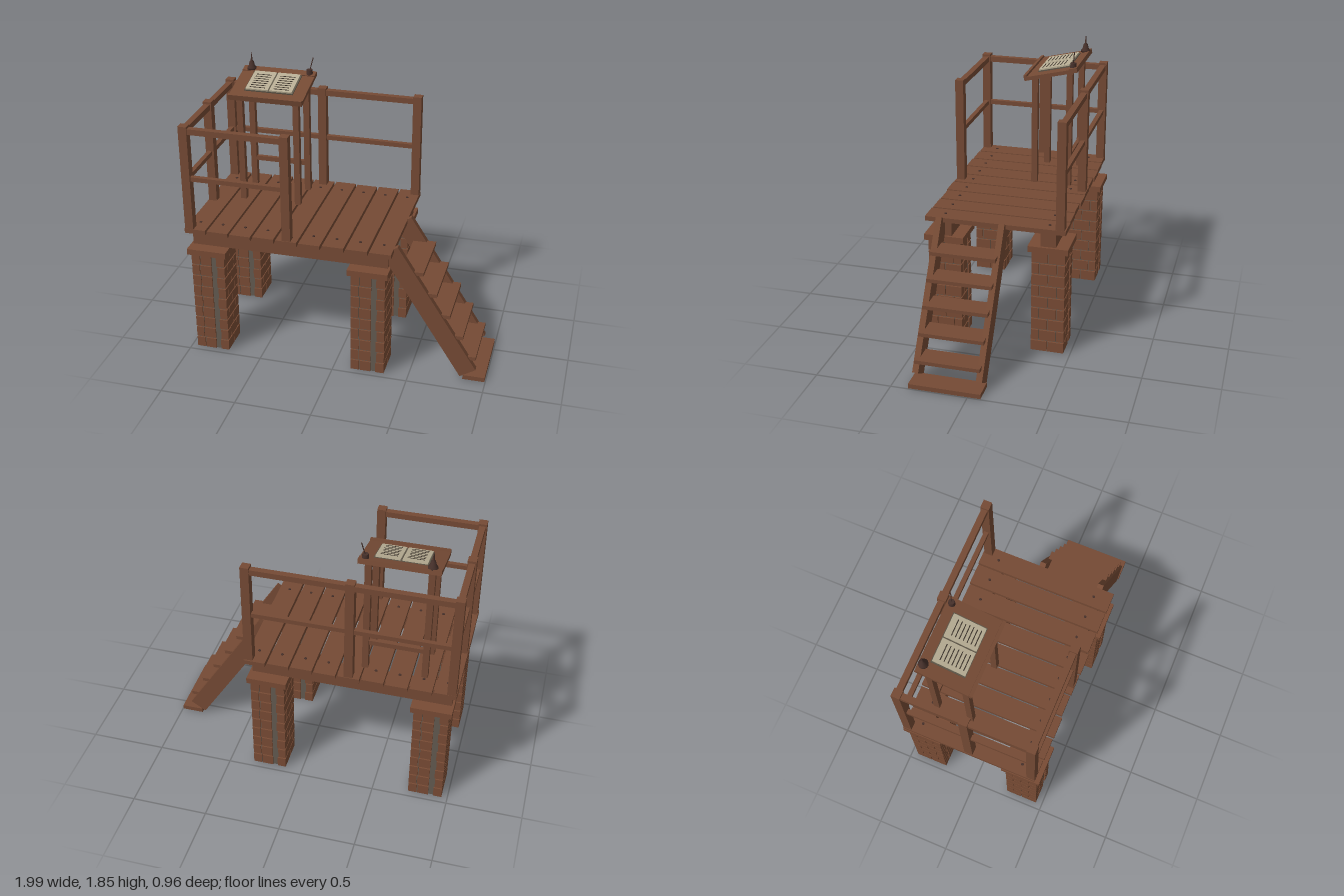
import * as THREE from 'three';
import { mergeGeometries } from 'three/addons/utils/BufferGeometryUtils.js';

const mat = (name, color) => {
  const m = new THREE.MeshStandardMaterial({ color });
  m.name = name;
  return m;
};

export function createModel() {
  const wood = mat('wood', 0x754a34);
  const brick = mat('brick', 0x784b34);
  const mortar = mat('mortar', 0x625950);
  const dark = mat('dark metal', 0x46302a);
  const cover = mat('book cover', 0x5e5648);
  const paper = mat('paper', 0xb8ae94);
  const ink = mat('ink', 0x3c342c);

  const root = new THREE.Group();
  root.name = 'brickPierPlatform';
  const group = (name, parent = root) => {
    const g = new THREE.Group();
    g.name = name;
    parent.add(g);
    return g;
  };
  const add = (parent, name, geo, material, x = 0, y = 0, z = 0) => {
    const m = new THREE.Mesh(geo, material);
    m.name = name;
    m.position.set(x, y, z);
    parent.add(m);
    return m;
  };
  // box from its minimum and maximum on each axis
  const span = (parent, name, material, x0, x1, y0, y1, z0, z1) =>
    add(parent, name, new THREE.BoxGeometry(x1 - x0, y1 - y0, z1 - z0), material,
      (x0 + x1) / 2, (y0 + y1) / 2, (z0 + z1) / 2);

  // brick courses of one pier; each half is repeated turned by 180 degrees
  const bricks = [];
  const pitch = 0.0805;
  for (let row = 0; row < 9; row++) {
    const odd = row % 2;
    const half = [];
    const put = (x0, x1, z0, z1) => half.push(
      new THREE.BoxGeometry(x1 - x0, 0.071, z1 - z0)
        .translate((x0 + x1) / 2, row * pitch + 0.04, (z0 + z1) / 2));
    const x0 = odd ? 0.062 : 0.056;
    const cuts = odd ? [-0.1125, -0.058, 0.058, 0.1125] : [-0.1125, 0, 0.1125];
    for (let i = 0; i < cuts.length - 1; i++) put(x0, 0.1125, cuts[i] + 0.003, cuts[i + 1] - 0.003);
    put(odd ? -0.056 : -0.05, 0.022, 0.055, 0.11);
    for (const g of half) bricks.push(g, g.clone().rotateY(Math.PI));
  }
  const brickGeo = mergeGeometries(bricks);

  // four piers with caps
  for (const x of [-0.848, 0.227]) for (const z of [-0.345, 0.347]) {
    const pier = group('pier');
    pier.position.set(x, 0, z);
    add(pier, 'pierBricks', brickGeo, brick);
    span(pier, 'pierCore', mortar, -0.1, 0.1, 0.004, 0.726, -0.1, 0.1);
    span(pier, 'pierCap', brick, -0.132, 0.132, 0.726, 0.766, -0.132, 0.132);
  }

  // beams and deck planks with bolt heads
  const deck = group('deck');
  for (const z of [-0.345, 0.345]) span(deck, 'beam', wood, -0.965, 0.342, 0.766, 0.872, z - 0.05, z + 0.05);
  const bolt = new THREE.CylinderGeometry(0.009, 0.009, 0.006, 10);
  for (let i = 0; i < 9; i++) {
    const x = -0.925 + i * 0.1538;
    const end = 0.455 + (i % 3) * 0.004;
    span(deck, 'plank', wood, x - 0.07, x + 0.07, 0.872, 0.903, -end, end);
    for (const z of [-0.345, 0.345]) add(deck, 'bolt', bolt, dark, x, 0.904, z);
  }

  // railing posts and rails
  const railing = group('railing');
  const L = -0.963, M = -0.308, R = 0.346, Z = 0.426;
  for (const [x, z] of [[L, Z], [M, Z], [L, 0], [L, -Z], [M, -Z], [R, -Z]])
    span(railing, 'post', wood, x - 0.028, x + 0.028, 0.9, 1.617, z - 0.028, z + 0.028);
  for (const [y, h, w] of [[1.583, 0.019, 0.02], [1.256, 0.015, 0.015]]) {
    span(railing, 'backRail', wood, L, R, y - h, y + h, -Z - w, -Z + w);
    span(railing, 'frontRail', wood, L, M, y - h, y + h, Z - w, Z + w);
    span(railing, 'endRail', wood, L - w, L + w, y - h, y + h, -Z, Z);
  }

  // stairs
  const stairs = group('stairs');
  for (const z of [-0.055, 0.36]) {
    const s = add(stairs, 'stringer', new THREE.BoxGeometry(0.99, 0.12, 0.04), wood, 0.615, 0.468, z);
    s.rotation.z = -Math.atan2(0.84, 0.535);
  }
  for (let i = 0; i < 5; i++) {
    const x = 0.567 + i * 0.09, y = 0.736 - i * 0.1445;
    span(stairs, 'tread', wood, x - 0.15, x, y - 0.0125, y + 0.0125, -0.06, 0.366);
  }
  span(stairs, 'bottomTread', wood, 0.85, 0.995, 0.005, 0.036, -0.083, 0.387);

  // reading desk legs and stretcher
  const desk = group('readingDesk');
  for (const x of [-0.77, -0.387]) {
    span(desk, 'frontLeg', wood, x - 0.02, x + 0.02, 0.9, 1.655, -0.095, -0.055);
    span(desk, 'backLeg', wood, x - 0.02, x + 0.02, 0.9, 1.712, -0.33, -0.29);
  }
  span(desk, 'stretcher', wood, -0.75, -0.407, 1.085, 1.117, -0.322, -0.298);

  // sloping top with lip, rear ledge and open book
  const top = group('deskTop', desk);
  top.position.set(-0.58, 1.687, -0.187);
  top.rotation.x = 0.235;
  span(top, 'deskBoard', wood, -0.25, 0.25, -0.0125, 0.0125, -0.178, 0.172);
  span(top, 'frontLip', wood, -0.25, 0.25, -0.012, 0.026, 0.16, 0.182);
  span(top, 'rearLedge', wood, -0.25, 0.25, -0.012, 0.019, -0.184, -0.128);
  span(top, 'bookCover', cover, -0.163, 0.167, 0.0125, 0.02, -0.122, 0.1);
  for (const s of [-1, 1]) {
    const cx = 0.002 + s * 0.081;
    span(top, 'page', paper, cx - 0.076, cx + 0.076, 0.02, 0.029, -0.117, 0.095);
    for (let i = 0; i < 7; i++) {
      const z = -0.077 + i * 0.025, w = i % 3 === 2 ? 0.046 : 0.052;
      span(top, 'ruledLine', ink, cx - 0.052, cx + w, 0.029, 0.0305, z - 0.003, z + 0.003);
    }
  }

  // pointed ornament
  const spire = [[0, 0], [0.031, 0], [0.031, 0.012], [0.022, 0.022], [0.014, 0.052], [0.006, 0.062], [0.004, 0.095], [0, 0.118]];
  add(desk, 'pointedOrnament', new THREE.LatheGeometry(spire.map(p => new THREE.Vector2(...p)), 14),
    dark, -0.772, 1.738, -0.332);

  // ink pot and pen
  add(desk, 'inkPot', new THREE.CylinderGeometry(0.019, 0.023, 0.04, 14), dark, -0.37, 1.75, -0.332);
  const pen = add(desk, 'pen', new THREE.CylinderGeometry(0.0035, 0.003, 0.09, 6), dark, -0.358, 1.805, -0.337);
  pen.rotation.set(-0.12, 0, -0.25);

  return root;
}
